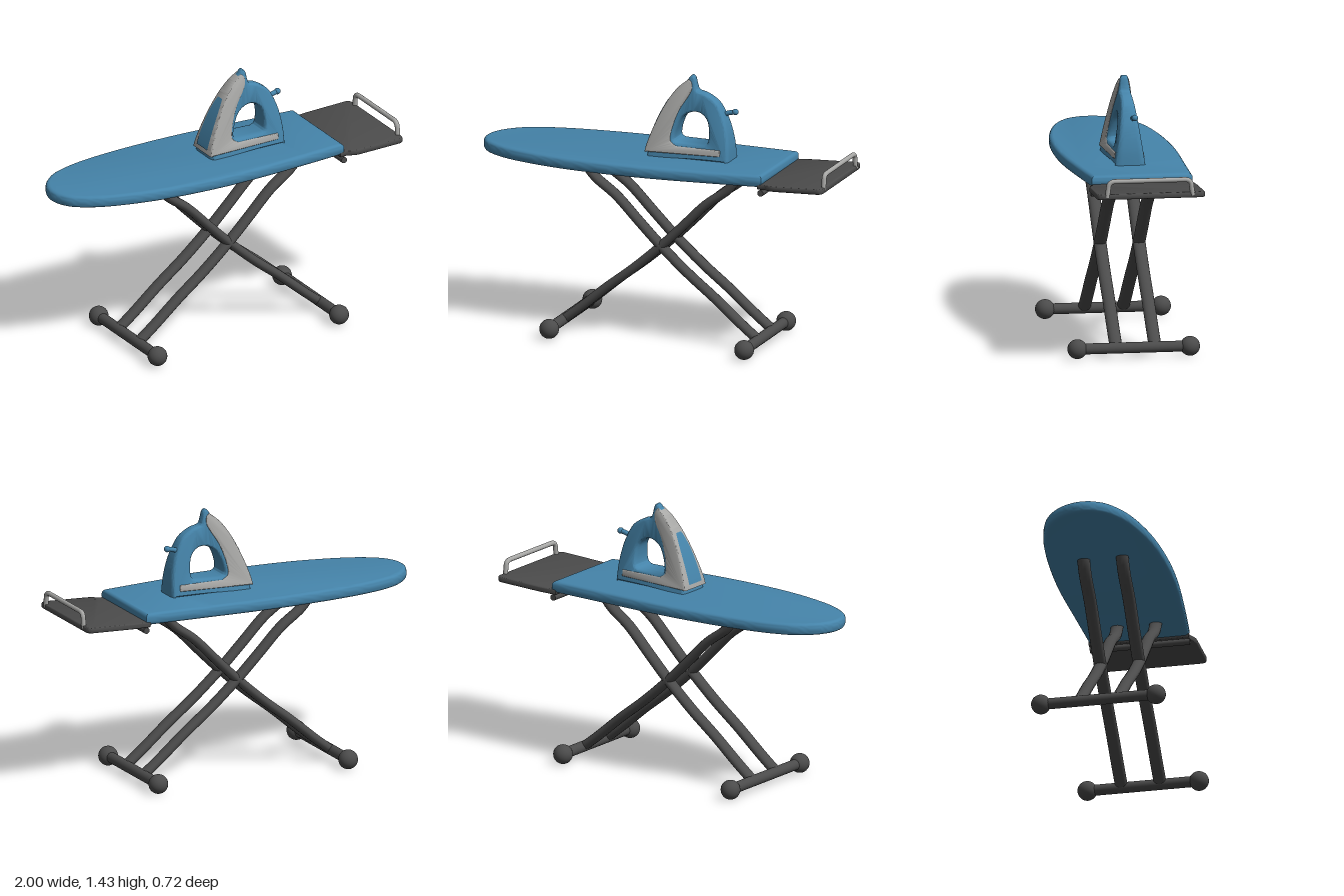
import * as THREE from 'three';
import { toCreasedNormals } from 'three/addons/utils/BufferGeometryUtils.js';

const material = (name, color, side = THREE.FrontSide) => {
  const m = new THREE.MeshStandardMaterial({ color, side });
  m.name = name;
  return m;
};
const V = (x, y, z) => new THREE.Vector3(x, y, z);
const V2 = (list) => list.map(([x, y]) => new THREE.Vector2(x, y));

export function createModel() {
  const blue = material('blue', 0x4584aa);
  const dark = material('dark grey', 0x4b4b4b);
  const grey = material('light grey', 0xa9a9a7);
  const model = new THREE.Group();
  model.name = 'ironingBoard';

  const add = (name, geometry, mat, parent = model) => {
    const mesh = new THREE.Mesh(geometry, mat);
    mesh.name = name;
    parent.add(mesh);
    return mesh;
  };

  // Horizontal rounded slab from an outline in x and z
  const slab = (shape, thickness, bevel, top) => {
    const g = new THREE.ExtrudeGeometry(shape, {
      depth: thickness - 2 * bevel, bevelThickness: bevel, bevelSize: bevel,
      bevelOffset: -bevel, bevelSegments: 4, curveSegments: 8,
    });
    g.rotateX(Math.PI / 2).translate(0, top - bevel, 0);
    return toCreasedNormals(g, 0.7);
  };

  // Padded board: rounded nose at -x, straight end at +x
  const boardCurve = new THREE.SplineCurve(V2([
    [0.645, -0.30], [0.3, -0.312], [0, -0.322], [-0.25, -0.317], [-0.5, -0.298], [-0.7, -0.265],
    [-0.85, -0.213], [-0.94, -0.142], [-0.985, -0.07], [-1, 0], [-0.985, 0.07], [-0.93, 0.143],
    [-0.8, 0.215], [-0.6, 0.268], [-0.4, 0.295], [-0.15, 0.305], [0.1, 0.295], [0.4, 0.265], [0.645, 0.235],
  ]));
  add('boardPad', slab(new THREE.Shape(boardCurve.getPoints(90)), 0.064, 0.022, 0.992), blue);

  // Iron rest with rounded outer corners, tilted slightly upwards
  const rest = new THREE.Shape();
  rest.moveTo(0.62, -0.3);
  rest.lineTo(0.72, -0.31);
  rest.lineTo(0.96, -0.315);
  rest.quadraticCurveTo(0.995, -0.315, 0.995, -0.28);
  rest.lineTo(0.995, 0.225);
  rest.quadraticCurveTo(0.995, 0.26, 0.96, 0.26);
  rest.lineTo(0.73, 0.26);
  rest.quadraticCurveTo(0.7, 0.26, 0.66, 0.236);
  rest.lineTo(0.62, 0.236);
  const restGeometry = slab(rest, 0.03, 0.007, 0);
  restGeometry.translate(-0.64, 0, 0).rotateZ(0.04).translate(0.64, 0.948, 0);
  add('ironRest', restGeometry, dark);

  // Round rod along z
  const rod = (name, x, y, z0, z1, r) => {
    const g = new THREE.CylinderGeometry(r, r, z1 - z0, 18);
    g.rotateX(Math.PI / 2).translate(x, y, (z0 + z1) / 2);
    add(name, g, dark);
  };
  rod('restCrossbar', 0.642, 0.9, -0.295, 0.24, 0.017);

  // Bent wire rail at the end of the rest
  const rail = new THREE.CurvePath();
  const railX = 0.986;
  const corners = [V(railX, 0.945, 0.207), V(railX, 1.0, 0.2), V(railX, 1.028, 0.165),
    V(railX, 1.028, -0.205), V(railX, 1.0, -0.24), V(railX, 0.945, -0.247)];
  rail.add(new THREE.LineCurve3(corners[0], corners[1]));
  rail.add(new THREE.QuadraticBezierCurve3(corners[1], V(railX, 1.028, 0.197), corners[2]));
  rail.add(new THREE.LineCurve3(corners[2], corners[3]));
  rail.add(new THREE.QuadraticBezierCurve3(corners[3], V(railX, 1.028, -0.237), corners[4]));
  rail.add(new THREE.LineCurve3(corners[4], corners[5]));
  add('restRail', new THREE.TubeGeometry(rail, 60, 0.013, 10), grey);

  // Two crossing pairs of oval legs, each pair with a foot bar and ball feet
  const legPath = [[-0.405, 0.955], [-0.398, 0.92], [-0.35, 0.855], [-0.23, 0.765], [-0.1, 0.635],
    [0.025, 0.512], [0.18, 0.375], [0.33, 0.257], [0.48, 0.13], [0.575, 0.055]];
  for (const [pair, mirrored] of [['nose', false], ['rest', true]]) {
    const place = (x) => (mirrored ? 0.05 - x : x);
    for (const z of [0.095, -0.112]) {
      const curve = new THREE.CatmullRomCurve3(legPath.map(([x, y]) => V(place(x), y, 0)));
      const g = new THREE.TubeGeometry(curve, 40, 0.025, 14);
      g.scale(1, 1, 1.36).translate(0, 0, z);
      add(pair + (z > 0 ? 'LegFront' : 'LegBack'), g, dark);
    }
    const footX = place(0.575);
    rod(pair + 'FootBar', footX, 0.056, -0.3, 0.3, 0.029);
    for (const z of [0.302, mirrored ? -0.315 : -0.297]) {
      add(pair + 'BallFoot', new THREE.SphereGeometry(0.052, 24, 16).translate(footX, 0.056, z), dark);
    }
  }

  // Steam iron, drawn in side profile; its width shrinks with height
  const iron = new THREE.Group();
  iron.name = 'iron';
  iron.position.z = -0.01;
  model.add(iron);
  const halfWidth = (x, y) => 0.091 - 0.155 * (y - 1) - 0.03 * x;
  const profile = (shape, bevelSize, bevelDepth, extra) => {
    const g = new THREE.ExtrudeGeometry(shape, {
      depth: 2 - 2 * bevelDepth, bevelThickness: bevelDepth, bevelSize,
      bevelOffset: -bevelSize, bevelSegments: 5, curveSegments: 10,
    });
    g.translate(0, 0, bevelDepth - 1);
    const p = g.attributes.position;
    for (let i = 0; i < p.count; i++) {
      p.setZ(i, p.getZ(i) * (halfWidth(p.getX(i), p.getY(i)) + extra));
    }
    return toCreasedNormals(g, 0.75);
  };

  // Blue body with handle opening
  const body = new THREE.Shape();
  body.moveTo(-0.068, 0.988);
  body.lineTo(0.388, 0.988);
  body.splineThru(V2([[0.385, 1.07], [0.372, 1.15], [0.35, 1.22], [0.31, 1.295], [0.25, 1.337],
    [0.2, 1.352], [0.188, 1.375], [0.178, 1.42], [0.16, 1.432], [0.142, 1.41]]));
  body.splineThru(V2([[0.1, 1.36], [0.055, 1.3], [0.01, 1.22], [-0.03, 1.13], [-0.058, 1.05], [-0.068, 0.988]]));
  const opening = new THREE.Path();
  opening.moveTo(0.1, 1.075);
  opening.splineThru(V2([[0.082, 1.09], [0.09, 1.14], [0.12, 1.205], [0.17, 1.238], [0.22, 1.236],
    [0.258, 1.2], [0.271, 1.14], [0.268, 1.09], [0.25, 1.075]]));
  opening.closePath();
  body.holes.push(opening);
  add('ironBody', profile(body, 0.016, 0.45, 0), blue, iron);

  // Grey shell around the heel with a strip along the base
  const heel = [[-0.076, 1.012], [-0.068, 1.05], [-0.04, 1.13], [0, 1.222], [0.046, 1.305], [0.095, 1.368], [0.148, 1.412]];
  const shell = new THREE.Shape();
  shell.moveTo(-0.076, 1.012);
  shell.lineTo(0.345, 1.02);
  shell.lineTo(0.345, 1.056);
  shell.lineTo(0.1, 1.058);
  shell.splineThru(V2([[0.066, 1.085], [0.072, 1.15], [0.105, 1.245], [0.15, 1.32], [0.168, 1.36], [0.165, 1.395], [0.148, 1.412]]));
  shell.splineThru(V2(heel.slice(0, -1).reverse()));
  add('ironShell', profile(shell, 0.008, 0.12, 0.005), grey, iron);

  // Blue panel lying on the heel
  const heelCurve = new THREE.SplineCurve(V2(heel));
  const panel = new THREE.PlaneGeometry(2, 1, 6, 16);
  const pp = panel.attributes.position;
  for (let i = 0; i < pp.count; i++) {
    const t = pp.getY(i) + 0.5;
    const c = heelCurve.getPoint(0.12 + 0.52 * t);
    const w = 0.055 * Math.sqrt(Math.max(0.02, 1 - t * t * 0.85));
    pp.setXYZ(i, c.x - 0.004, c.y + 0.002, pp.getX(i) * w);
  }
  panel.computeVertexNormals();
  add('heelPanel', panel, material('panel blue', 0x4584aa, THREE.DoubleSide), iron);

  // Cord stub with a rounded end
  const cord = new THREE.CatmullRomCurve3([V(0.32, 1.225, -0.018), V(0.36, 1.24, -0.02), V(0.395, 1.247, -0.022)]);
  add('cordStub', new THREE.TubeGeometry(cord, 10, 0.013, 12), blue, iron);
  add('cordEnd', new THREE.SphereGeometry(0.017, 16, 12).translate(0.394, 1.247, -0.022), blue, iron);

  return model;
}
